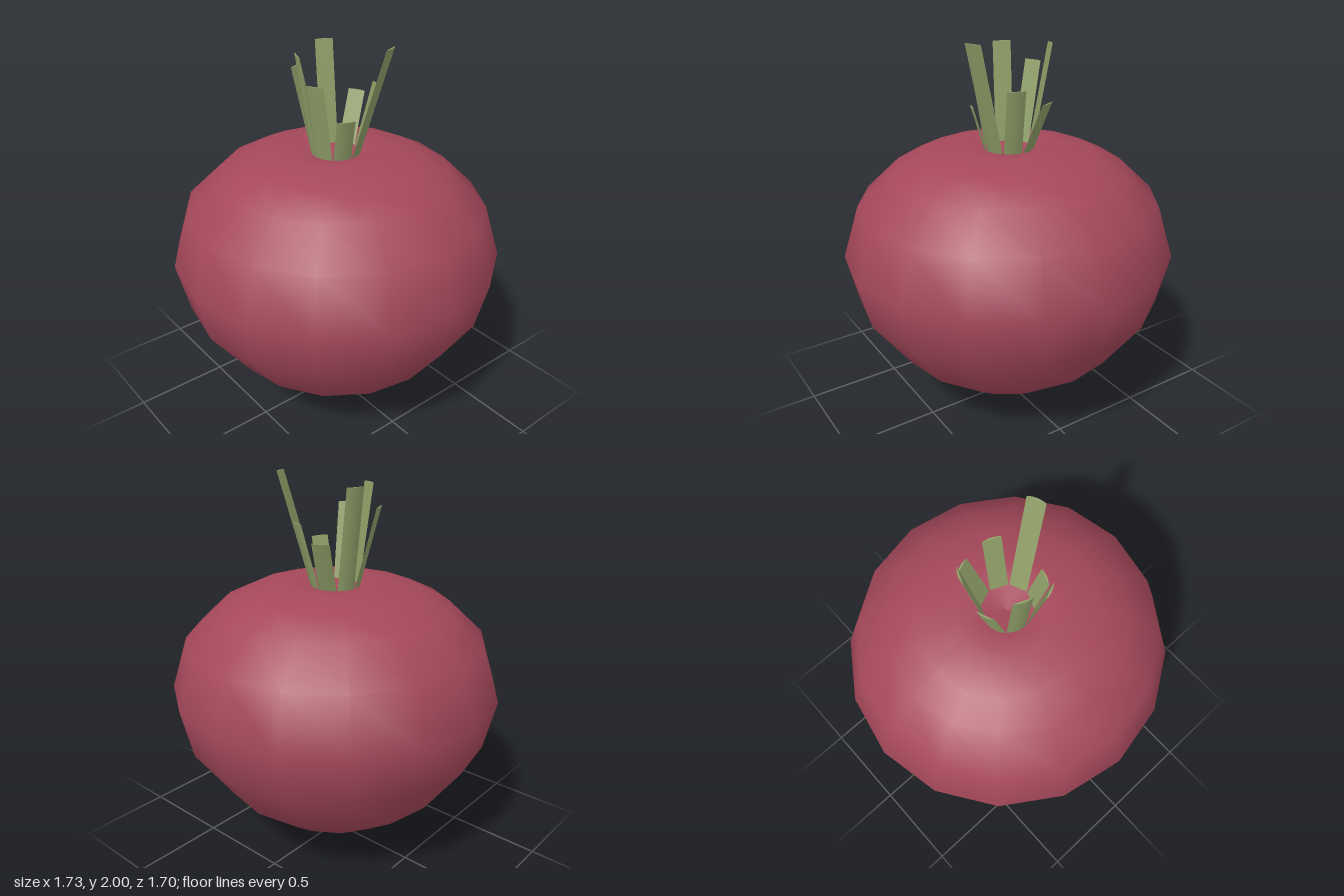
import * as THREE from 'three';
import { toCreasedNormals } from 'three/addons/utils/BufferGeometryUtils.js';

const BASE_Y = 1.42;      // floor of the dimple where the stalks grow
const STALK_R = 0.12;     // radius of the ring of stalks
const SECTOR = Math.PI / 4;

// One stalk: a wedge of a disc, pulled up and sheared outwards
function stalkGeometry(angle, height, lean) {
  const wedge = new THREE.Shape();
  wedge.moveTo(0, 0);
  wedge.absarc(0, 0, STALK_R, angle - SECTOR / 2, angle + SECTOR / 2, false);
  wedge.closePath();
  const geo = new THREE.ExtrudeGeometry(wedge, { depth: height, bevelEnabled: false, curveSegments: 3 });
  geo.rotateX(-Math.PI / 2);
  const p = geo.attributes.position;
  for (let i = 0; i < p.count; i++) {
    const t = (p.getY(i) / height) * lean;
    p.setX(i, p.getX(i) + Math.cos(angle) * t);
    p.setZ(i, p.getZ(i) - Math.sin(angle) * t);
  }
  return toCreasedNormals(geo, 0.6);
}

export function createModel() {
  const model = new THREE.Group();
  const skin = new THREE.MeshStandardMaterial({ color: 0xa5485a });
  const green = new THREE.MeshStandardMaterial({ color: 0x8f9f68 });

  // Root: turned profile from the tip up to the dimple in the crown
  const profile = [
    [0, 0], [0.04, 0.005], [0.39, 0.2], [0.605, 0.365], [0.805, 0.645], [0.865, 0.905],
    [0.78, 1.175], [0.6, 1.345], [0.445, 1.42], [0.24, 1.465], [0.13, 1.445], [0, BASE_Y],
  ].map(([r, y]) => new THREE.Vector2(r, y));
  const root = new THREE.Mesh(new THREE.LatheGeometry(profile, 16), skin);
  root.name = 'root';
  root.scale.z = 0.985;
  model.add(root);

  // Stalks: top height and outward lean, counter-clockwise from the left side
  const stalks = new THREE.Group();
  stalks.name = 'stalks';
  [
    [2.0, 0.175], [1.775, 0.095], [1.7, 0.115], [1.96, 0.095],
    [1.85, 0.11], [1.945, 0.075], [1.83, 0.085], [1.66, 0.07],
  ].forEach(([top, lean], i) => {
    const stalk = new THREE.Mesh(stalkGeometry((i + 0.5) * SECTOR, top - BASE_Y, lean), green);
    stalk.name = `stalk${i + 1}`;
    stalk.position.y = BASE_Y;
    stalks.add(stalk);
  });
  model.add(stalks);
  return model;
}
